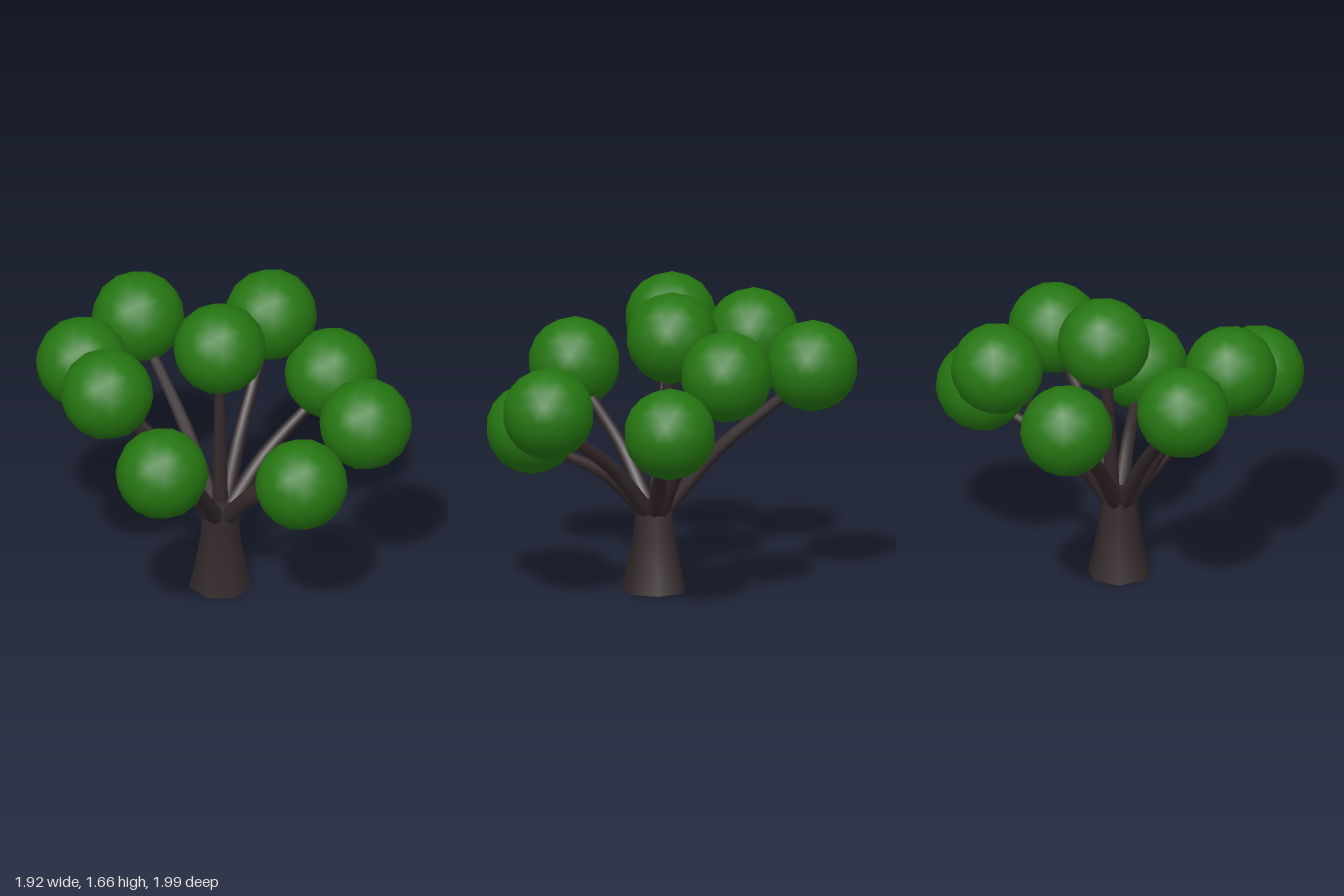
import * as THREE from 'three';

const bark = new THREE.MeshStandardMaterial({ color: 0x33282a });
bark.name = 'dark bark';
const leaf = new THREE.MeshStandardMaterial({ color: 0x257611 });
leaf.name = 'leaf green';

const TRUNK = new THREE.Vector3(-0.035, 0, 0.1);

// Centres of the foliage balls
const BALLS = [
  [-0.12, 1.25, -0.75], [-0.64, 1.3, -0.37], [-0.71, 1.36, 0.085],
  [-0.63, 1.115, 0.605], [0.14, 0.925, 0.75], [0.595, 1.115, 0.61],
  [0.71, 1.045, -0.065], [0.485, 1.32, -0.35], [0.01, 1.415, 0],
];

// Round tube that narrows evenly from r0 to r1
function taperedTube(curve, r0, r1, segments = 8, sides = 8) {
  const geo = new THREE.TubeGeometry(curve, segments, 1, sides);
  const pos = geo.attributes.position;
  const v = new THREE.Vector3();
  for (let i = 0; i < pos.count; i++) {
    const t = Math.floor(i / (sides + 1)) / segments;
    const centre = curve.getPointAt(t);
    v.fromBufferAttribute(pos, i).sub(centre);
    v.multiplyScalar(THREE.MathUtils.lerp(r0, r1, t)).add(centre);
    pos.setXYZ(i, v.x, v.y, v.z);
  }
  return geo;
}

export function createModel() {
  const tree = new THREE.Group();
  tree.name = 'tree';
  const add = (name, geo, mat) => {
    const mesh = new THREE.Mesh(geo, mat);
    mesh.name = name;
    tree.add(mesh);
    return mesh;
  };

  // Flared trunk; doubled points keep the rims sharp
  const profile = [
    [0, 0], [0.18, 0], [0.18, 0], [0.147, 0.14], [0.118, 0.3],
    [0.099, 0.49], [0.099, 0.49], [0, 0.51],
  ].map(([r, y]) => new THREE.Vector2(r, y));
  const trunk = add('trunk', new THREE.LatheGeometry(profile, 7), bark);
  trunk.position.copy(TRUNK);
  trunk.scale.x = 0.96;

  const ballGeo = new THREE.IcosahedronGeometry(0.25, 2);
  ballGeo.scale(1.015, 1, 1);
  const aim = TRUNK.clone().setY(0.3);

  BALLS.forEach((p, i) => {
    const centre = new THREE.Vector3(...p);
    add('foliage' + (i + 1), ballGeo, leaf).position.copy(centre);

    // Branch from the trunk top to just inside the underside of the ball
    const end = aim.clone().sub(centre).setLength(0.21).add(centre);
    const out = end.clone().sub(TRUNK).setY(0);
    const start = TRUNK.clone().addScaledVector(out.normalize(), 0.05).setY(0.44);
    const mid = start.clone().lerp(end, 0.45);
    mid.y += 0.055;
    const curve = new THREE.CatmullRomCurve3([start, mid, end]);
    add('branch' + (i + 1), taperedTube(curve, 0.047, 0.03), bark);

    // Rounded branch tip
    add('branchTip' + (i + 1), new THREE.SphereGeometry(0.03, 8, 6), bark).position.copy(end);
  });

  return tree;
}
